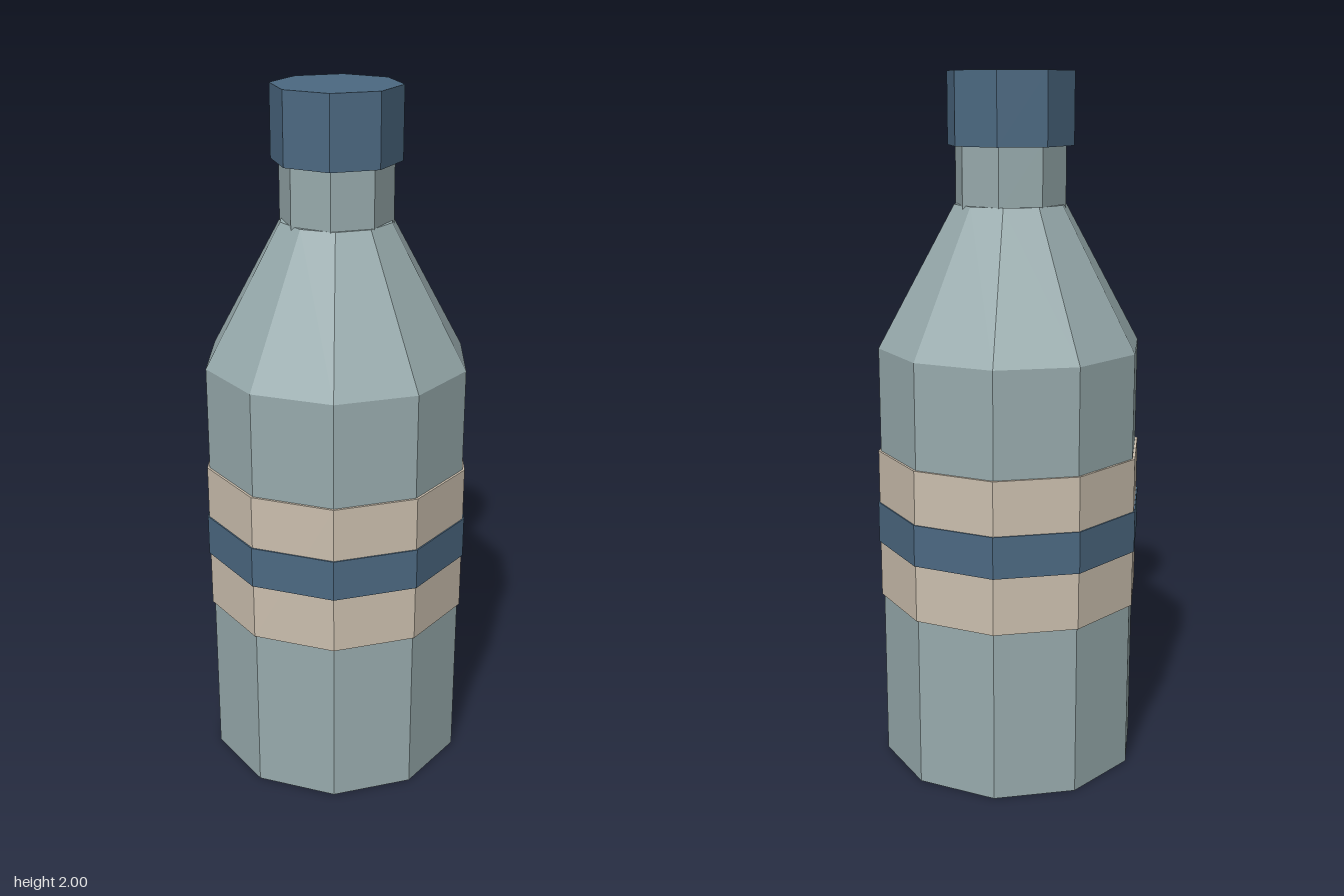
import * as THREE from 'three';

const flat = (name, color) => {
  const m = new THREE.MeshStandardMaterial({ color, flatShading: true });
  m.name = name;
  return m;
};

export function createModel() {
  const glass = flat('grey green glass', 0x98abad);
  const cream = flat('cream label', 0xcbbfae);
  const blue = flat('dull blue', 0x4c6982);

  const bottle = new THREE.Group();
  bottle.name = 'bottle';

  // Closed prism or frustum between two heights, turned by an angle about y
  const prism = (name, material, sides, turn, y0, y1, rBottom, rTop = rBottom) => {
    const geometry = new THREE.CylinderGeometry(rTop, rBottom, y1 - y0, sides, 1, false, turn);
    const mesh = new THREE.Mesh(geometry, material);
    mesh.name = name;
    mesh.position.y = (y0 + y1) / 2;
    bottle.add(mesh);
  };

  // Ten-sided body with corners on the x axis
  const ten = Math.PI / 2;
  const profile = [[0, 0], [0.38, 0], [0.38, 1.24], [0.16, 1.64], [0, 1.64]];
  const body = new THREE.Mesh(
    new THREE.LatheGeometry(profile.map(([r, y]) => new THREE.Vector2(r, y)), 10, ten),
    glass
  );
  body.name = 'body';
  bottle.add(body);

  // Label with a raised stripe
  prism('label', cream, 10, ten, 0.5, 0.94, 0.387);
  prism('labelStripe', blue, 10, ten, 0.665, 0.785, 0.391);

  // Eight-sided neck and cap with flat sides to the front
  const eight = Math.PI / 8;
  prism('neck', glass, 8, eight, 1.63, 1.81, 0.158);
  prism('cap', blue, 8, eight, 1.8, 2, 0.18);

  return bottle;
}
